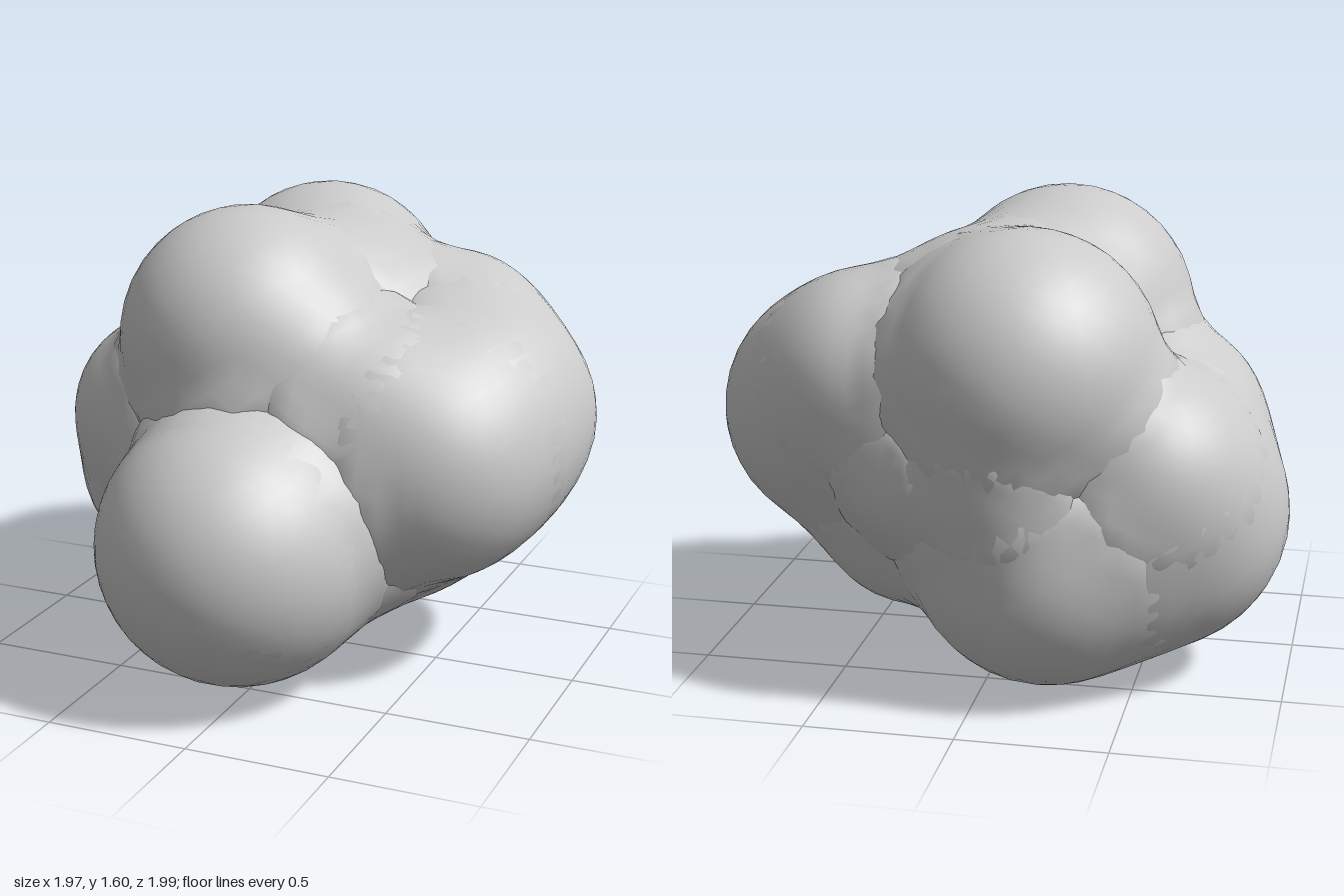
import * as THREE from 'three';
import { mergeVertices } from 'three/addons/utils/BufferGeometryUtils.js';

// Lobes of the lumpy cluster: name, centre x, y, z, radius
const LOBES = [
  ['frontLobe', -0.05, 0.52, 0.43, 0.48],
  ['frontTipLobe', -0.04, 0.55, 0.58, 0.41],
  ['topFrontLobe', -0.16, 1.16, 0.12, 0.45],
  ['frontFillLobe', 0.22, 0.95, 0.14, 0.36],
  ['leftFrontLobe', 0.47, 0.8, 0.06, 0.45],
  ['leftLobe', 0.54, 0.87, -0.2, 0.44],
  ['leftBackLobe', 0.4, 1.04, -0.4, 0.36],
  ['leftLowerLobe', 0.3, 0.54, -0.2, 0.37],
  ['rightLobe', -0.51, 0.58, -0.26, 0.48],
  ['rightUpperLobe', -0.54, 0.82, 0, 0.34],
  ['rightBackLobe', -0.52, 0.78, -0.46, 0.35],
  ['topBackLobe', -0.14, 1.13, -0.55, 0.45],
  ['topMiddleLobe', 0.04, 1.12, -0.25, 0.4],
  ['backLowerLobe', -0.2, 0.49, -0.42, 0.48],
  ['backMiddleLobe', -0.08, 0.78, -0.64, 0.28],
  ['backSideLobe', 0.2, 0.75, -0.55, 0.26],
  ['coreLobe', -0.02, 0.62, 0.05, 0.55],
].map(([name, x, y, z, r]) => ({ name, r, c: new THREE.Vector3(x, y, z) }));

// Blended distance to the whole cluster, negative inside
function clusterDistance(p, k = 0.14) {
  let d = Infinity;
  for (const { c, r } of LOBES) {
    const e = p.distanceTo(c) - r;
    if (d === Infinity) { d = e; continue; }
    const h = Math.max(k - Math.abs(d - e), 0) / k;
    d = Math.min(d, e) - h * h * k * 0.25;
  }
  return d;
}

// A ball whose skin swells slightly to fill the creases where lobes meet
function lobeGeometry({ c, r }) {
  let geo = new THREE.IcosahedronGeometry(1, 6);
  geo.deleteAttribute('uv');
  geo.deleteAttribute('normal');
  geo = mergeVertices(geo, 1e-4);
  const pos = geo.attributes.position;
  const dir = new THREE.Vector3(), p = new THREE.Vector3();
  for (let i = 0; i < pos.count; i++) {
    dir.fromBufferAttribute(pos, i).normalize();
    let radius = r;
    for (let step = 0; step < 5; step++) {
      p.copy(c).addScaledVector(dir, radius);
      radius += Math.max(0, -clusterDistance(p));
      radius = Math.min(radius, r + 0.06);
    }
    p.copy(dir).multiplyScalar(radius);
    pos.setXYZ(i, p.x, p.y, p.z);
  }
  geo.computeVertexNormals();
  return geo;
}

export function createModel() {
  const group = new THREE.Group();
  group.name = 'lumpyCluster';
  const material = new THREE.MeshStandardMaterial({ color: 0xcccccc });
  for (const lobe of LOBES) {
    const mesh = new THREE.Mesh(lobeGeometry(lobe), material);
    mesh.name = lobe.name;
    mesh.position.copy(lobe.c);
    group.add(mesh);
  }
  // Rest the cluster on the ground
  const bottom = new THREE.Box3().setFromObject(group).min.y;
  for (const mesh of group.children) mesh.position.y -= bottom;
  return group;
}
